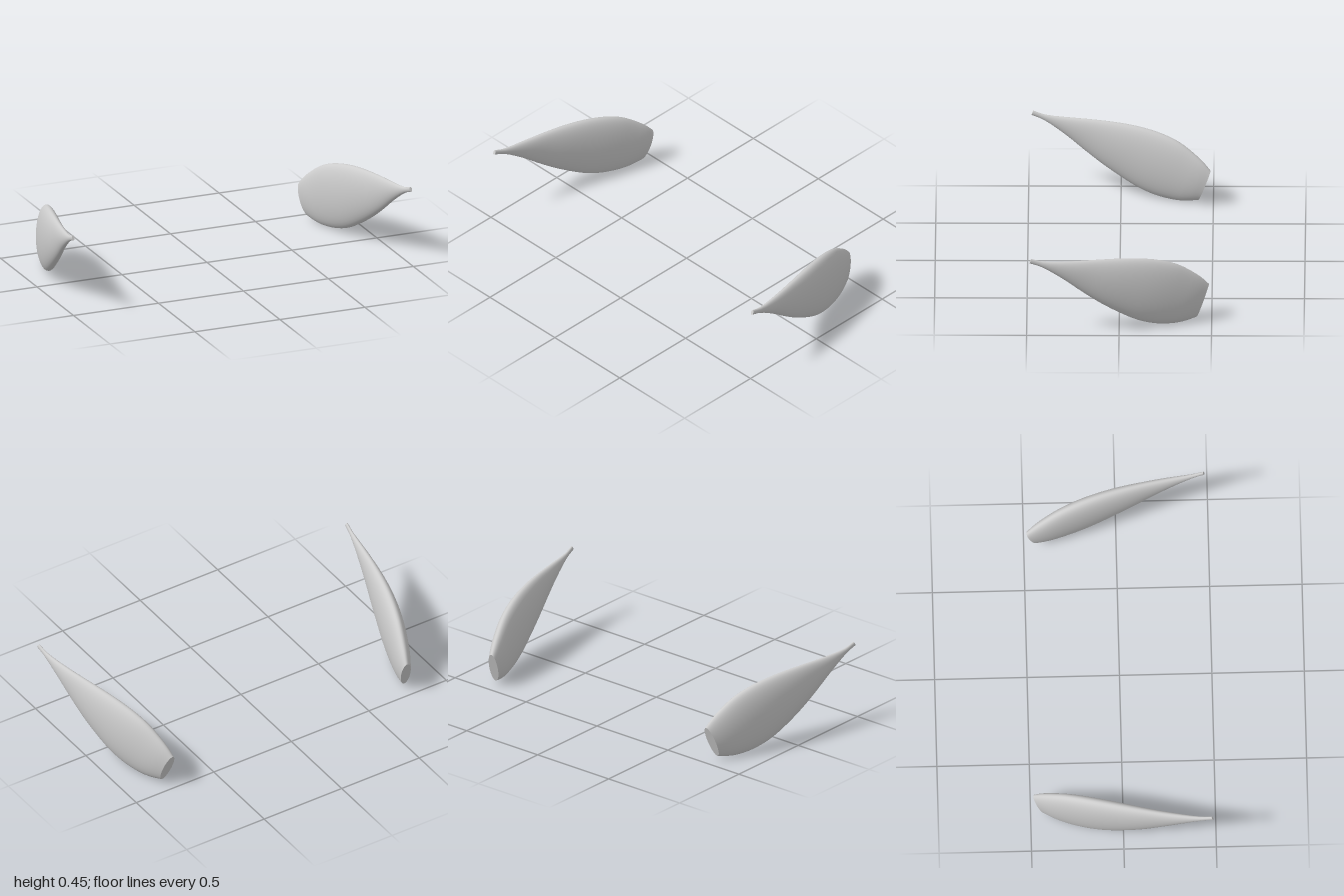
import * as THREE from 'three';

// Cross-sections from thin tip to blunt end: top z, top y, bottom z, bottom y, half thickness
const SECTIONS = [
  [0.475, 0.45, 0.485, 0.425, 0.008],
  [0.41, 0.43, 0.42, 0.4, 0.011],
  [0.265, 0.422, 0.3, 0.32, 0.025],
  [0.135, 0.42, 0.2, 0.24, 0.036],
  [0.01, 0.415, 0.1, 0.165, 0.048],
  [-0.11, 0.403, 0, 0.1, 0.056],
  [-0.225, 0.378, -0.1, 0.045, 0.06],
  [-0.32, 0.34, -0.2, 0.012, 0.058],
  [-0.405, 0.28, -0.3, 0.001, 0.051],
  [-0.45, 0.24, -0.36, 0.006, 0.043],
  [-0.485, 0.2, -0.42, 0.02, 0.031],
];
const SIDES = 40;
const STEPS = 3;

// Sideways bow of the pod along its length
const bow = (z) => 0.908 + 0.244 * z - 0.139 * z * z;

function podGeometry(side) {
  // Smooth curves through the top and bottom edges and the thickness
  const curve = (pick) => new THREE.CatmullRomCurve3(SECTIONS.map(pick));
  const top = curve((s) => new THREE.Vector3(0, s[1], s[0]));
  const bottom = curve((s) => new THREE.Vector3(0, s[3], s[2]));
  const thick = curve((s, i) => new THREE.Vector3(s[4], i * 0.1, 0));
  const rows = (SECTIONS.length - 1) * STEPS;
  const positions = [];
  const index = [];
  const tri = (a, b, c) => (side > 0 ? index.push(a, b, c) : index.push(a, c, b));

  const addRing = (i) => {
    const t = top.getPoint(i / rows);
    const b = bottom.getPoint(i / rows);
    const w = thick.getPoint(i / rows).x;
    const first = positions.length / 3;
    for (let j = 0; j < SIDES; j++) {
      const a = (j / SIDES) * Math.PI * 2;
      const p = b.clone().lerp(t, 0.5 + 0.5 * Math.cos(a));
      positions.push(side * (bow(p.z) + w * Math.sin(a)), p.y, p.z);
    }
    return first;
  };

  // Skin
  for (let i = 0; i <= rows; i++) addRing(i);
  for (let i = 0; i < rows; i++) {
    for (let j = 0; j < SIDES; j++) {
      const k = (j + 1) % SIDES;
      const a = i * SIDES;
      const b = a + SIDES;
      tri(a + j, a + k, b + j);
      tri(a + k, b + k, b + j);
    }
  }

  // Flat ends with their own vertices, so their rims stay sharp
  for (const end of [0, rows]) {
    const first = addRing(end);
    for (let j = 1; j < SIDES - 1; j++) {
      if (end) tri(first, first + j, first + j + 1);
      else tri(first, first + j + 1, first + j);
    }
  }

  const geometry = new THREE.BufferGeometry();
  geometry.setAttribute('position', new THREE.Float32BufferAttribute(positions, 3));
  geometry.setIndex(index);
  geometry.computeVertexNormals();
  return geometry;
}

export function createModel() {
  const group = new THREE.Group();
  const grey = new THREE.MeshStandardMaterial({ color: 0xcccccc });
  grey.name = 'light grey';
  for (const side of [1, -1]) {
    const pod = new THREE.Mesh(podGeometry(side), grey);
    pod.name = side > 0 ? 'leftPod' : 'rightPod';
    group.add(pod);
  }
  return group;
}
